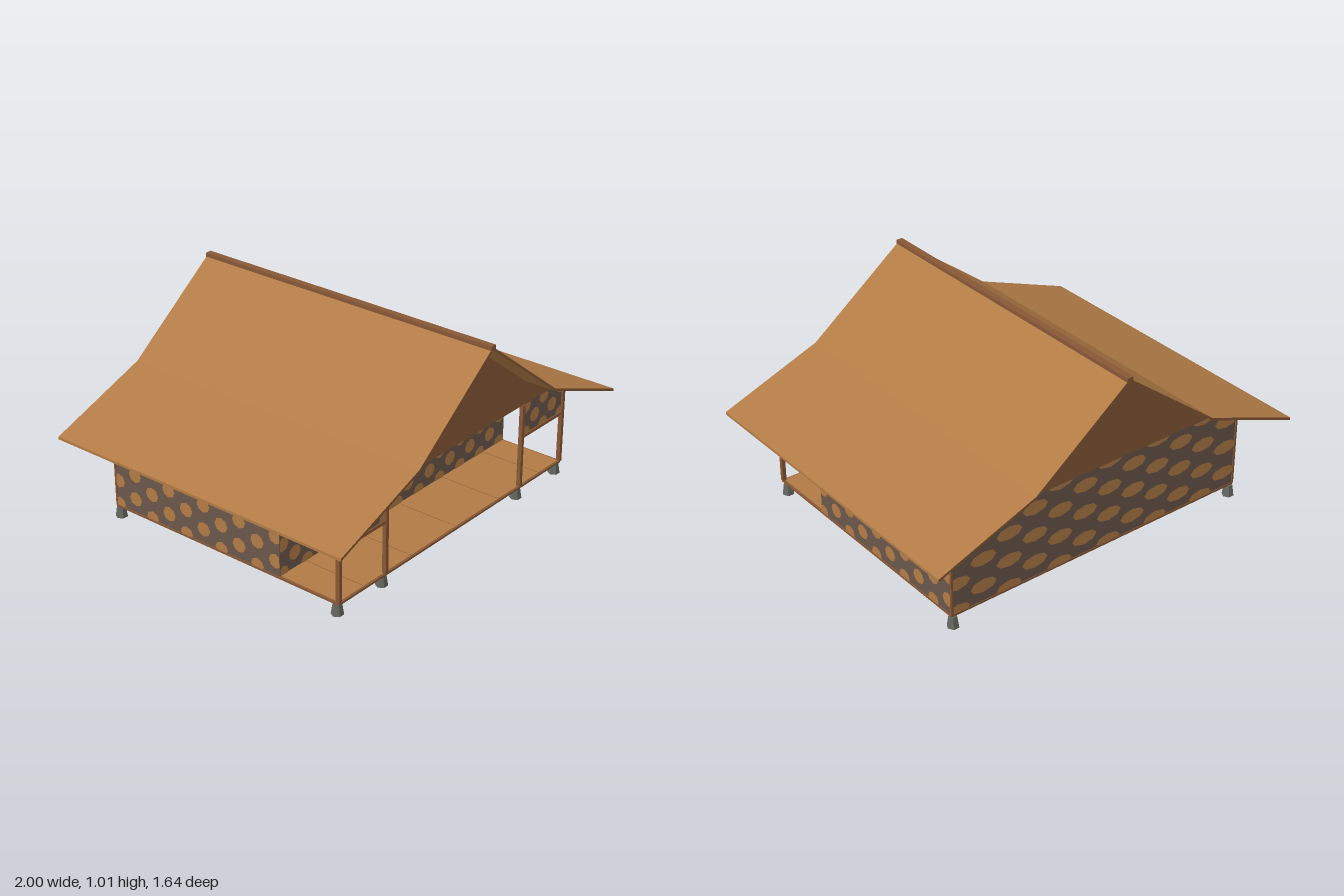
import * as THREE from 'three';
import { mergeGeometries } from 'three/addons/utils/BufferGeometryUtils.js';

const mat = (name, color, opts = {}) => {
  const m = new THREE.MeshStandardMaterial({ color, ...opts });
  m.name = name;
  return m;
};

export function createModel() {
  const M = {
    thatch: mat('thatch', 0xb17b45),
    timber: mat('timber', 0x885836),
    plaster: mat('plaster', 0x6a574a),
    spot: mat('spot', 0xb17b45),
    frame: mat('darkFrame', 0x573823),
    glass: mat('glass', 0xe2e3e1),
    stone: mat('stone', 0x66675f, { flatShading: true }),
    plank: mat('plank', 0xb17a44),
    knot: mat('knot', 0x875a30),
  };
  const house = new THREE.Group();
  house.name = 'house';

  const add = (name, geo, material, parent = house) => {
    const m = new THREE.Mesh(geo, material);
    m.name = name;
    parent.add(m);
    return m;
  };
  // Box given by its two extreme corners
  const box = (name, x0, x1, y0, y1, z0, z1, material, parent) => {
    const m = add(name, new THREE.BoxGeometry(x1 - x0, y1 - y0, z1 - z0), material, parent);
    m.position.set((x0 + x1) / 2, (y0 + y1) / 2, (z0 + z1) / 2);
    return m;
  };

  // Staggered lattice of round spots, clipped to a w by h panel
  const spots = (name, w, h, dx, dy, rx, ry, x, y, z, turn) => {
    const parts = [];
    for (let j = 0; j * dy < h + ry; j++) {
      for (let i = 0; (i - 0.5) * dx < w + rx; i++) {
        const cx = (i + (j % 2) / 2) * dx + dx * 0.1, cy = j * dy + 0.01;
        if (cx - rx > w || cy - ry > h) continue;
        const g = new THREE.CircleGeometry(1, 8);
        const p = g.attributes.position;
        for (let k = 0; k < p.count; k++) {
          p.setXY(k,
            THREE.MathUtils.clamp(cx + p.getX(k) * rx, 0, w) - w / 2,
            THREE.MathUtils.clamp(cy + p.getY(k) * ry, 0, h) - h / 2);
        }
        parts.push(g);
      }
    }
    const m = add(name, mergeGeometries(parts), M.spot);
    m.position.set(x, y, z);
    m.rotation.y = turn;
  };

  const W = 0.818, B = 0.657, P = 0.33, F = 0.067, T = 0.488, E = 0.003;

  // Foundation stones
  for (const [x, z] of [[-0.803, 0.637], [-0.507, 0.637], [0.49, 0.637], [0.807, 0.637], [-0.803, -0.65], [0.807, -0.65]]) {
    const s = add('foundationStone', new THREE.CylinderGeometry(0.02, 0.029, 0.056, 6), M.stone);
    s.position.set(x, 0.028, z);
    s.rotation.y = Math.PI / 6;
  }

  // Floor: timber rim, planks above and below
  box('floorFrame', -0.822, 0.822, 0.057, F, -0.66, 0.662, M.timber);
  box('floorUnderside', -0.818, 0.818, 0.055, 0.057, -0.657, 0.658, M.plank);
  box('porchFloor', -0.812, 0.812, F, F + 0.003, P, 0.654, M.plank);
  for (let i = -2; i <= 2; i++) {
    box('plankJoint', i * 0.325 - 0.001, i * 0.325 + 0.001, F + 0.003, F + 0.004, P, 0.65, M.knot);
  }

  // Closed room behind the porch
  box('roomWalls', -W, W, F, T, -B, P, M.plaster);
  const h = T - F, mid = (T + F) / 2;
  spots('frontWallSpots', 2 * W, h, 0.158, 0.07, 0.039, 0.036, 0, mid, P + E, 0);
  spots('backWallSpots', 2 * W, h, 0.28, 0.07, 0.07, 0.034, 0, mid, -B - E, Math.PI);
  for (const s of [-1, 1]) {
    spots('sideWallSpots', B + P, h, 0.21, 0.06, 0.038, 0.036, s * (W + E), mid, (P - B) / 2, s * Math.PI / 2);
  }

  // Upper panels, rails and posts of the porch
  const R = 0.325, ph = T - R, py = (T + R) / 2;
  for (const s of [-1, 1]) {
    const a = Math.min(s * 0.5, s * W), b = Math.max(s * 0.5, s * W);
    box('porchFrontPanel', a, b, R, T, 0.647, B, M.plaster);
    spots('porchFrontSpots', b - a, ph, 0.14, 0.07, 0.037, 0.036, (a + b) / 2, py, B + E, 0);
    spots('porchFrontInnerSpots', b - a, ph, 0.14, 0.07, 0.037, 0.036, (a + b) / 2, py, 0.647 - E, Math.PI);
    box('porchFrontRail', a, b, R - 0.007, R + 0.007, 0.643, 0.664, M.timber);

    const xi = s * (W - 0.008);
    box('porchSidePanel', Math.min(xi, s * W), Math.max(xi, s * W), R, T, P, B, M.plaster);
    spots('porchSideSpots', B - P, ph, 0.18, 0.065, 0.037, 0.036, s * (W + E), py, (B + P) / 2, s * Math.PI / 2);
    spots('porchSideInnerSpots', B - P, ph, 0.18, 0.065, 0.037, 0.036, xi - s * E, py, (B + P) / 2, -s * Math.PI / 2);
    box('porchSideRail', s * 0.815 - 0.008, s * 0.815 + 0.008, R - 0.007, R + 0.007, P, 0.661, M.timber);
    box('backCornerPost', s * 0.817 - 0.005, s * 0.817 + 0.005, F, T, -0.662, -0.652, M.timber);
  }
  for (const x of [-0.816, -0.507, 0.488, 0.816]) {
    box('porchPost', x - 0.009, x + 0.009, F, T, 0.646, 0.666, M.timber);
  }

  // Windows: dark backing with light panes in front
  const windowUnit = (name, x0, x1, y0, y1, n) => {
    const g = new THREE.Group();
    g.name = name;
    house.add(g);
    box('windowFrame', x0, x1, y0, y1, P, P + 0.008, M.frame, g);
    const t = 0.016, w = (x1 - x0 - t * (n + 1)) / n;
    for (let i = 0; i < n; i++) {
      const a = x0 + t + i * (w + t);
      box('windowPane', a, a + w, y0 + t, y1 - t, P + 0.008, P + 0.0095, M.glass, g);
    }
  };
  windowUnit('largeWindow', -0.506, -0.174, 0.179, 0.386, 2);
  windowUnit('windowTransom', -0.506, -0.174, 0.394, 0.488, 2);
  windowUnit('doorTransom', -0.174, -0.01, 0.394, 0.488, 1);
  box('lintel', -0.506, -0.01, 0.385, 0.396, P, P + 0.01, M.timber);

  // Door with knots and a handle
  box('door', -0.172, -0.008, F, 0.386, P, P + 0.005, M.plank);
  for (const [x, y, rx, ry] of [[-0.06, 0.318, 0.011, 0.022], [-0.07, 0.233, 0.016, 0.016]]) {
    const k = add('doorKnot', new THREE.CircleGeometry(1, 10), M.knot);
    k.scale.set(rx, ry, 1);
    k.position.set(x, y, P + 0.0065);
  }
  box('doorHandle', -0.16, -0.14, 0.2, 0.208, P + 0.005, P + 0.018, M.frame);

  // Gables reaching into the bent roof slab
  const gable = new THREE.Shape([[-0.82, T], [0.82, T], [0.493, 0.614], [0, 0.992], [-0.493, 0.614]]
    .map(([x, y]) => new THREE.Vector2(x, y)));
  for (const z of [0.646, -0.658]) {
    add('gable', new THREE.ExtrudeGeometry(gable, { depth: 0.012, bevelEnabled: false }), M.timber).position.z = z;
  }
  box('backKingPost', -0.006, 0.006, 0.86, 0.985, -0.668, -0.655, M.frame);

  // Roof slab with a flatter lower pitch, timber-coloured at the ends
  const top = [[-1, 0.43], [-0.495, 0.621], [0, 1], [0.495, 0.621], [1, 0.43]];
  const under = top.map(([x, y]) => [x, y - 0.013]).reverse();
  const roof = new THREE.Shape([...top, ...under].map(([x, y]) => new THREE.Vector2(x, y)));
  add('roof', new THREE.ExtrudeGeometry(roof, { depth: 1.64, bevelEnabled: false }), [M.timber, M.thatch]).position.z = -0.82;
  box('ridgeBeam', -0.016, 0.016, 0.985, 1.007, -0.822, 0.822, M.timber);

  return house;
}
